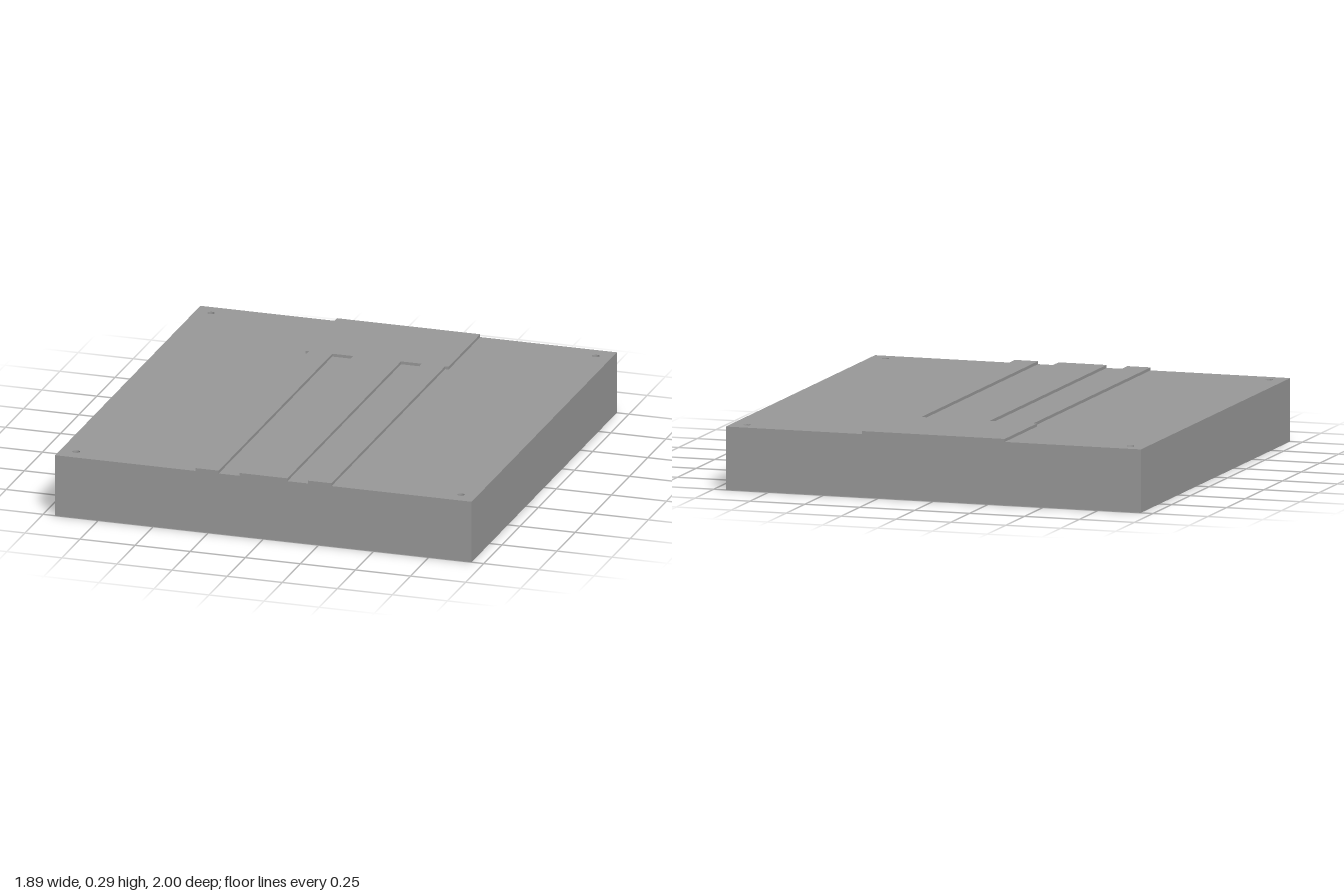
import * as THREE from 'three';

const W = 0.945, D = 1;            // half width and half depth
const CEILING = 0.214, DECK = 0.277, TOP = 0.29;
const WALL = 0.088, HOLE_INSET = 0.072, HOLE_R = 0.016;

const material = new THREE.MeshStandardMaterial({ color: 0x999999 });

// Rectangle in plan, drawn with y = -z
function rectangle(target, w, d) {
  target.moveTo(-w, -d);
  target.lineTo(w, -d);
  target.lineTo(w, d);
  target.lineTo(-w, d);
  target.closePath();
  return target;
}

// Extrude a plan shape upward between two heights
function slab(name, shape, y0, y1) {
  const geometry = new THREE.ExtrudeGeometry(shape, { depth: y1 - y0, bevelEnabled: false, curveSegments: 24 });
  geometry.rotateX(-Math.PI / 2);
  geometry.translate(0, y0, 0);
  const mesh = new THREE.Mesh(geometry, material);
  mesh.name = name;
  return mesh;
}

// Outer plan with the four corner screw holes
function outline() {
  const shape = rectangle(new THREE.Shape(), W, D);
  for (const sx of [-1, 1]) for (const sz of [-1, 1]) {
    shape.holes.push(new THREE.Path().absarc(sx * (W - HOLE_INSET), sz * (D - HOLE_INSET), HOLE_R, 0, Math.PI * 2, true));
  }
  return shape;
}

export function createModel() {
  const model = new THREE.Group();
  model.name = 'slottedCover';

  // Side walls around the cavity, open underneath
  const frame = outline();
  frame.holes.push(rectangle(new THREE.Path(), W - WALL, D - WALL));
  model.add(slab('sideWalls', frame, 0, CEILING));

  // Flat deck closing the top
  model.add(slab('deck', outline(), CEILING, DECK));

  // Raised strip: wide at the back, with two slots open at the front
  const half = [
    [0.109, -D], [0.109, 0.565], [0.203, 0.565], [0.203, -D],
    [0.309, -D], [0.309, 0.565], [0.325, 0.565], [0.325, D],
  ];
  const mirrored = half.map(([x, y]) => [-x, y]).reverse();
  const strip = new THREE.Shape([...half, ...mirrored].map(([x, y]) => new THREE.Vector2(x, y)));
  model.add(slab('raisedStrip', strip, DECK, TOP));

  return model;
}
